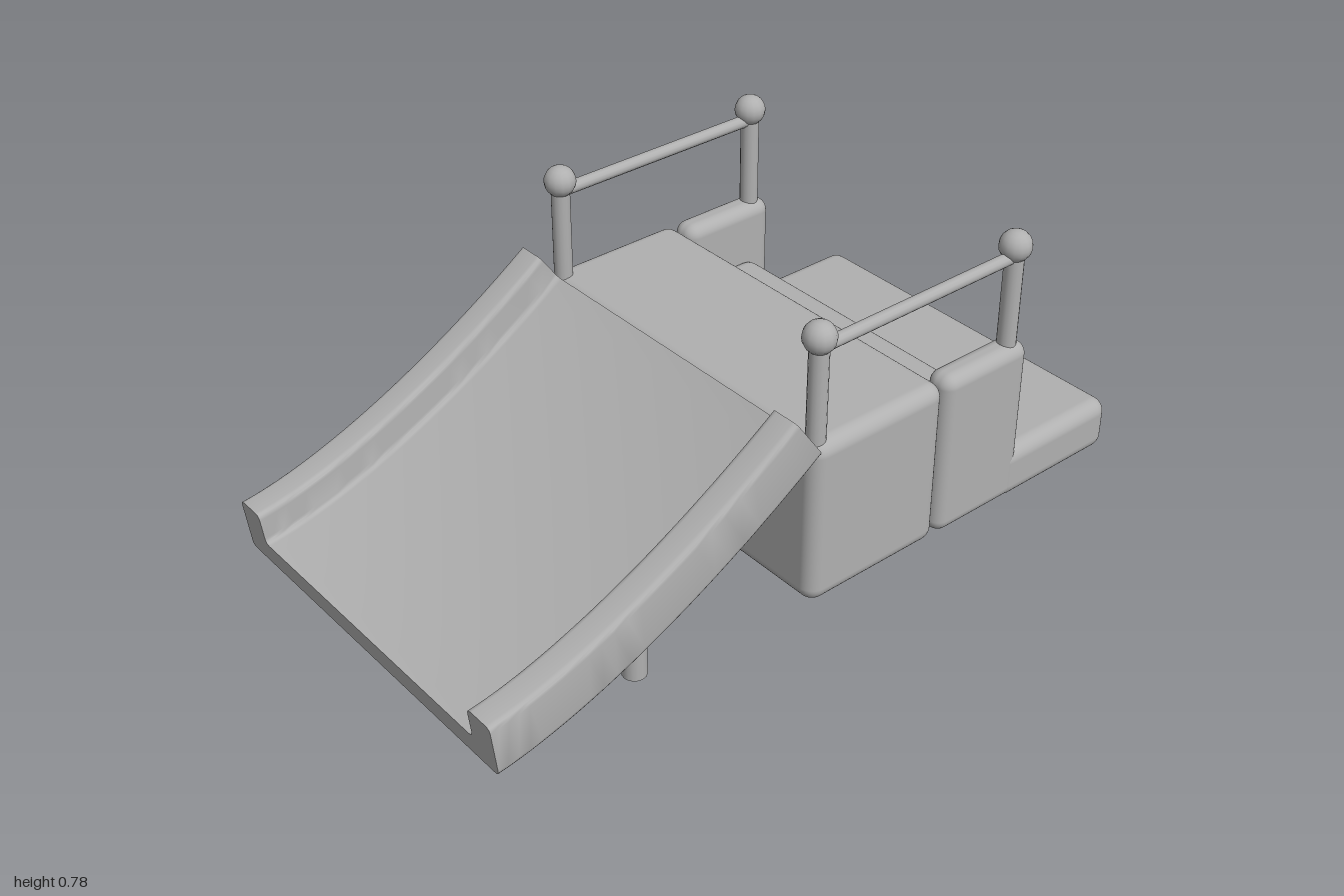
import * as THREE from 'three';
import { toCreasedNormals } from 'three/addons/utils/BufferGeometryUtils.js';
import { RoundedBoxGeometry } from 'three/addons/geometries/RoundedBoxGeometry.js';

// Replace each corner of a 2D outline with a short curve
function roundCorners(corners, r, steps = 4) {
  const out = [];
  corners.forEach((c, i) => {
    const prev = corners[(i + corners.length - 1) % corners.length];
    const next = corners[(i + 1) % corners.length];
    const a = c.clone().add(prev.clone().sub(c).setLength(r));
    const b = c.clone().add(next.clone().sub(c).setLength(r));
    out.push(...new THREE.QuadraticBezierCurve(a, c, b).getPoints(steps));
  });
  return out;
}

// Sweep a U-shaped section along the underside curve, from the front end up to the deck
function slideGeometry() {
  const W = 0.525, w = 0.44, H = 0.147, t = 0.058, rings = 24;
  const outline = roundCorners(
    [[-W, 0], [W, 0], [W, H], [w, H], [w, t], [-w, t], [-w, H], [-W, H]]
      .map(([x, y]) => new THREE.Vector2(x, y)), 0.016);
  const path = new THREE.CubicBezierCurve(
    new THREE.Vector2(0.983, 0.028), new THREE.Vector2(0.76, 0.053),
    new THREE.Vector2(0.42, 0.19), new THREE.Vector2(0.05, 0.45));
  const n = outline.length, pos = [], idx = [];
  for (let i = 0; i <= rings; i++) {
    const p = path.getPoint(i / rings), d = path.getTangent(i / rings);
    for (const o of outline) pos.push(o.x, p.y - d.x * o.y, p.x + d.y * o.y);
  }
  for (let i = 0; i < rings; i++) {
    for (let j = 0; j < n; j++) {
      const k = (j + 1) % n;
      const a = i * n + j, b = i * n + k, c = b + n, d = a + n;
      idx.push(a, d, c, a, c, b);
    }
  }
  // End caps
  for (const [a, b, c] of THREE.ShapeUtils.triangulateShape(outline, [])) {
    idx.push(a, b, c, rings * n + a, rings * n + c, rings * n + b);
  }
  const g = new THREE.BufferGeometry();
  g.setAttribute('position', new THREE.Float32BufferAttribute(pos, 3));
  g.setIndex(idx);
  return toCreasedNormals(g, 0.6);
}

export function createModel() {
  const model = new THREE.Group();
  model.name = 'playSlide';
  const grey = new THREE.MeshStandardMaterial({ color: 0xb0b0b0 });
  grey.name = 'softGrey';

  const add = (name, geometry, x = 0, y = 0, z = 0) => {
    const mesh = new THREE.Mesh(geometry, grey);
    mesh.name = name;
    mesh.position.set(x, y, z);
    model.add(mesh);
    return mesh;
  };
  // Padded block given by its extents
  const block = (name, x0, x1, y0, y1, z0, z1, r) => add(name,
    new RoundedBoxGeometry(x1 - x0, y1 - y0, z1 - z0, 4, r),
    (x0 + x1) / 2, (y0 + y1) / 2, (z0 + z1) / 2);
  const post = (name, r, x, y0, y1, z) => add(name,
    new THREE.CylinderGeometry(r, r, y1 - y0, 16), x, (y0 + y1) / 2, z);

  // Deck and steps
  block('deck', -0.523, 0.523, 0.003, 0.47, -0.357, 0.07, 0.04);
  block('middleStep', -0.455, 0.455, 0.003, 0.31, -0.59, -0.36, 0.04);
  block('bottomStep', -0.525, 0.525, 0, 0.15, -1, -0.59, 0.04);

  // Slide
  add('slide', slideGeometry());

  const frontZ = 0.035, backZ = -0.605;
  for (const [side, s] of [['left', 1], ['right', -1]]) {
    // Side panel flanking the steps
    const x0 = s > 0 ? 0.44 : -0.523;
    block(side + 'StepPanel', x0, x0 + 0.083, 0.003, 0.47, -0.652, -0.362, 0.035);

    // Handrail with ball-topped posts
    for (const [end, z] of [['Front', frontZ], ['Back', backZ]]) {
      post(side + end + 'Post', 0.025, s * 0.482, 0.38, 0.74, z);
      add(side + end + 'Ball', new THREE.SphereGeometry(0.042, 14, 10), s * 0.482, 0.742, z);
    }
    const rail = add(side + 'Rail',
      new THREE.CylinderGeometry(0.017, 0.017, frontZ - backZ, 12),
      s * 0.482, 0.713, (frontZ + backZ) / 2);
    rail.rotation.x = Math.PI / 2;

    // Slide support leg
    post(side + 'SlideLeg', 0.031, s * 0.427, 0, 0.185, 0.533);
  }
  return model;
}
